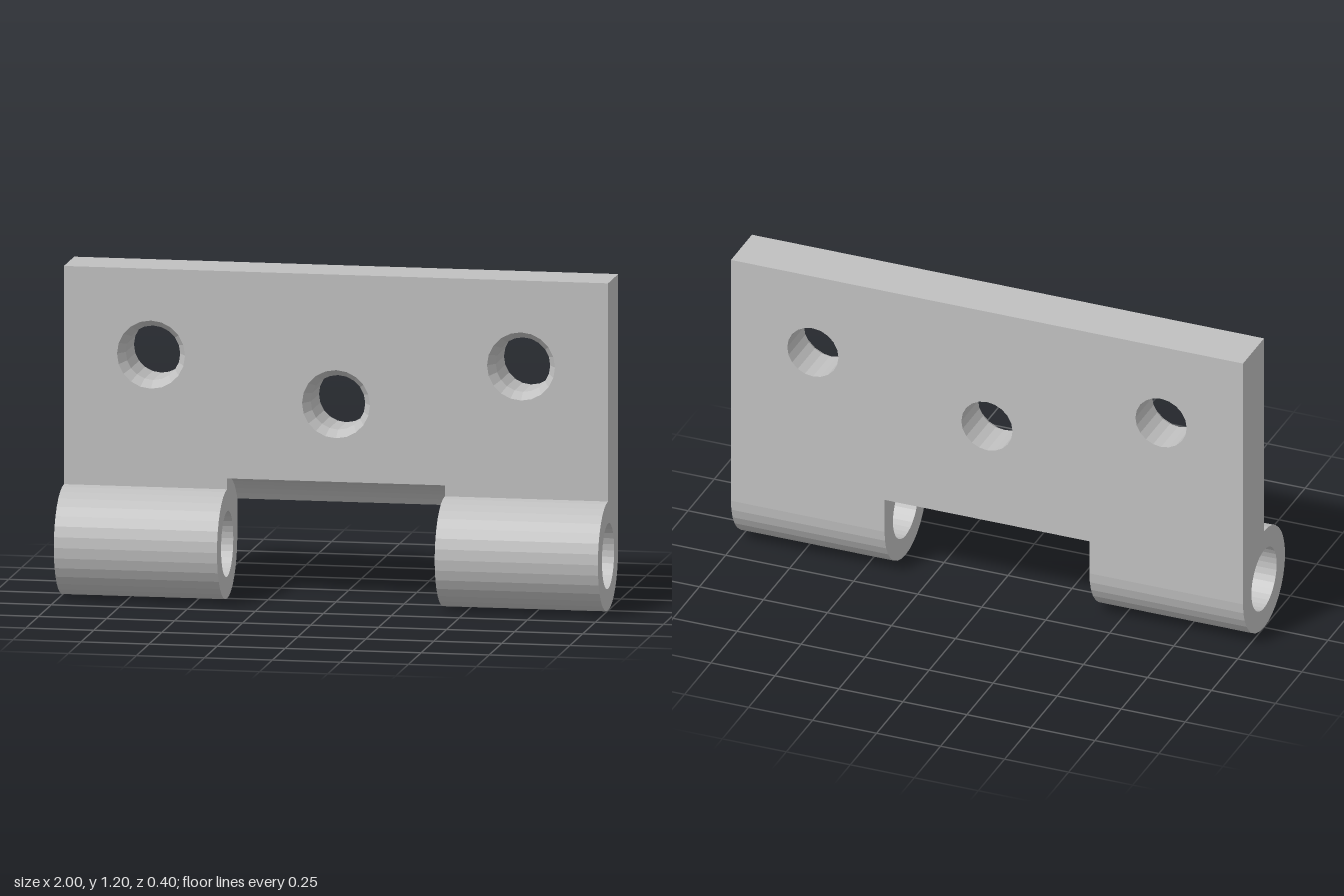
import * as THREE from 'three';

const metal = new THREE.MeshStandardMaterial({ color: 0xc0c0c0 });
metal.name = 'grey metal';

const PIN_Y = 0.2, OUTER = 0.2, BORE = 0.12, CLEAR = 0.24;
const TOP = 1.2, BACK = -0.2, NOTCH = 0.4;
const HOLES = [[-0.68, 0.885], [0, 0.725], [0.68, 0.885]];
const HOLE_R = 0.1, SINK_R = 0.125, SINK_DEPTH = 0.04;

// Points of an arc, counter-clockwise from a to b (clockwise when b < a)
function arc(cx, cy, r, a, b, n) {
  return Array.from({ length: n + 1 }, (_, i) => {
    const t = a + (b - a) * i / n;
    return new THREE.Vector2(cx + r * Math.cos(t), cy + r * Math.sin(t));
  });
}
const pts = list => list.map(([a, b]) => new THREE.Vector2(a, b));

// Flat-faceted strip: a (z, y) profile stretched from x0 to x1
function strip(profile, x0, x1) {
  const pos = [];
  for (let i = 0; i < profile.length - 1; i++) {
    const p = profile[i], q = profile[i + 1];
    const a = [x0, p.y, p.x], b = [x1, p.y, p.x], c = [x1, q.y, q.x], d = [x0, q.y, q.x];
    pos.push(...a, ...b, ...c, ...a, ...c, ...d);
  }
  const g = new THREE.BufferGeometry();
  g.setAttribute('position', new THREE.Float32BufferAttribute(pos, 3));
  g.computeVertexNormals();
  return g;
}

function sheet(outline, holes) {
  const shape = new THREE.Shape(outline);
  holes.forEach(h => shape.holes.push(new THREE.Path(h)));
  return new THREE.ShapeGeometry(shape);
}

// End face at x, facing +x or -x, from a (z, y) outline
function endFace(outline, hole, x, facing) {
  const map = list => list.map(p => new THREE.Vector2(-facing * p.x, p.y));
  return sheet(map(outline), [map(hole)]).rotateY(facing * Math.PI / 2).translate(x, 0, 0);
}

export function createModel() {
  const model = new THREE.Group();
  model.name = 'hingeLeaf';
  const add = (name, geometry) => {
    const mesh = new THREE.Mesh(geometry, metal);
    mesh.name = name;
    model.add(mesh);
  };

  const barrel = arc(0, PIN_Y, OUTER, Math.PI, Math.PI * 2.5, 24);
  const bore = arc(0, PIN_Y, BORE, Math.PI * 2, 0, 32);
  const notchArc = arc(0, PIN_Y, CLEAR, Math.acos(BACK / CLEAR), Math.PI / 2, 8);
  const screwHoles = r => HOLES.map(([x, y]) => arc(x, y, r, 0, Math.PI * 2, 20).slice(0, -1));

  // Plate faces, with the notch cut between the knuckles
  const plate = (low, high) => pts([[-1, low], [-NOTCH, low], [-NOTCH, high], [NOTCH, high],
    [NOTCH, low], [1, low], [1, TOP], [-1, TOP]]);
  add('plateFront', sheet(plate(PIN_Y + OUTER, PIN_Y + CLEAR), screwHoles(SINK_R)));
  add('plateBack', sheet(plate(PIN_Y, notchArc[0].y), screwHoles(HOLE_R))
    .rotateY(Math.PI).translate(0, 0, BACK));
  add('plateTop', strip(pts([[0, TOP], [BACK, TOP]]), -1, 1));
  add('notchCurve', strip(notchArc, -NOTCH, NOTCH));

  // Countersunk screw holes
  for (const [x, y] of HOLES) {
    const g = new THREE.LatheGeometry(
      pts([[SINK_R, 0], [HOLE_R, -SINK_DEPTH], [HOLE_R, BACK]]), 20).toNonIndexed();
    g.computeVertexNormals();
    add('screwHole', g.rotateX(Math.PI / 2).translate(x, y, 0));
  }

  // Knuckles with pin bores, and the end faces on both sides
  const outerEnd = [...barrel, ...pts([[0, TOP], [BACK, TOP]])];
  const innerEnd = [...barrel, ...notchArc.slice().reverse()];
  for (const side of [-1, 1]) {
    const name = side > 0 ? 'left' : 'right';
    const x0 = side > 0 ? NOTCH : -1, x1 = side > 0 ? 1 : -NOTCH;
    add(name + 'Knuckle', strip(barrel, x0, x1));
    add(name + 'PinBore', strip(bore, x0, x1));
    add(name + 'OuterEnd', endFace(outerEnd, bore.slice(0, -1), side, side));
    add(name + 'InnerEnd', endFace(innerEnd, bore.slice(0, -1), side * NOTCH, -side));
  }
  return model;
}
